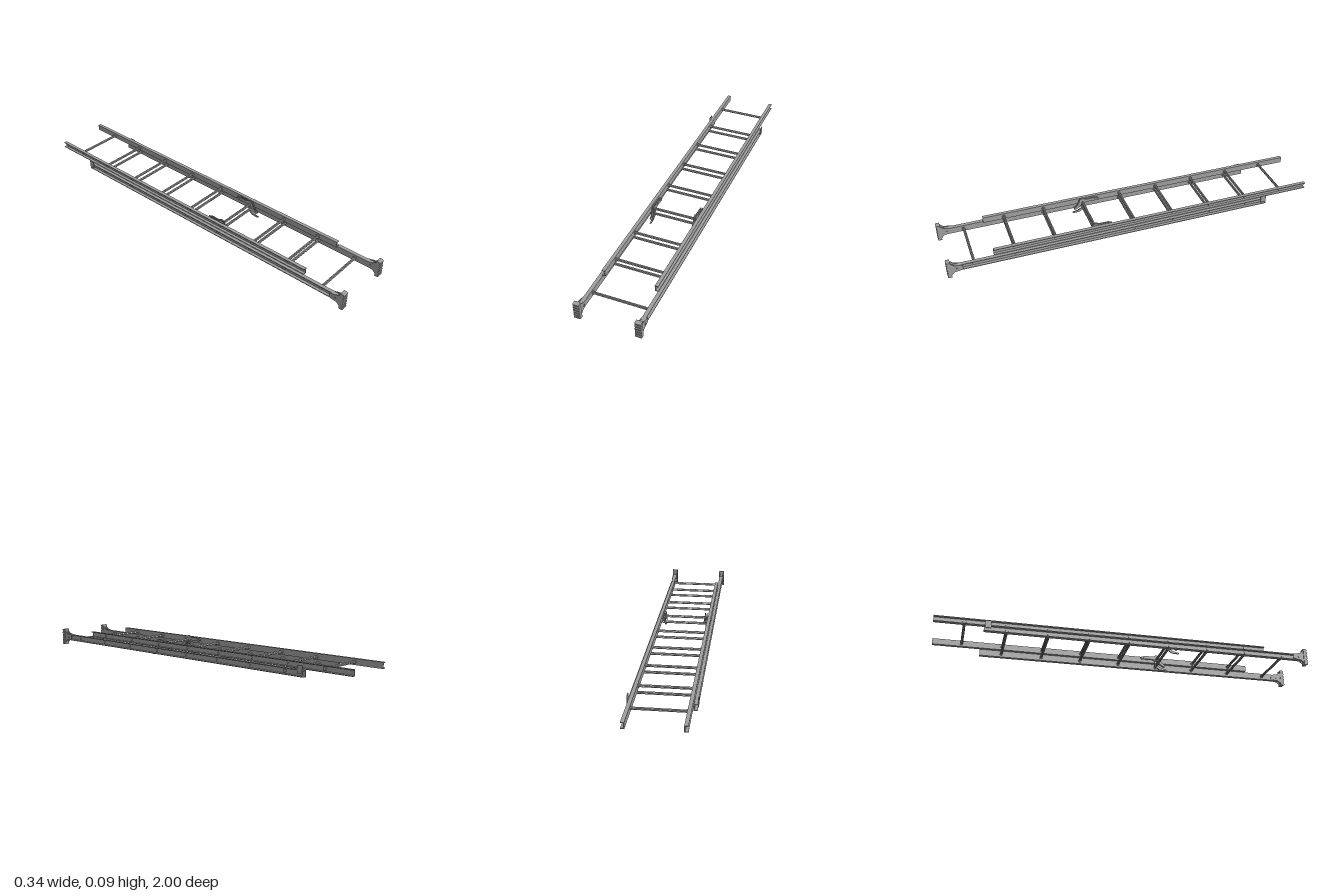
import * as THREE from 'three';

const SLOPE = 0.0148;          // both sections lie at a slight pitch
const PITCH = 0.2138;          // rung spacing

const aluminium = new THREE.MeshStandardMaterial({ color: 0xa0a0a0 });
aluminium.name = 'aluminium';

function add(parent, name, geometry, x = 0, y = 0, z = 0) {
  const mesh = new THREE.Mesh(geometry, aluminium);
  mesh.name = name;
  mesh.position.set(x, y, z);
  parent.add(mesh);
  return mesh;
}

function extrude(points, depth) {
  const shape = new THREE.Shape(points.map(([x, y]) => new THREE.Vector2(x, y)));
  return new THREE.ExtrudeGeometry(shape, { depth, bevelEnabled: false });
}

// Plate drawn in (z, y), given a thickness across x and centred on x
function sidePlate(points, width) {
  return extrude(points.map(([z, y]) => [-z, y]), width).translate(0, 0, -width / 2).rotateY(Math.PI / 2);
}

// Channel rail: web on the inside, flanges pointing outward
function railGeometry(side, inner, width, height, length) {
  const h = height / 2, t = 0.004;
  const outline = [
    [inner, -h], [inner + width, -h], [inner + width, -h + t], [inner + t, -h + t],
    [inner + t, h - t], [inner + width, h - t], [inner + width, h], [inner, h],
  ];
  return extrude(outline.map(([x, y]) => [x * side, y]), length);
}

// Ribbed rung running along x
function rungGeometry(length) {
  const points = [];
  for (let i = 0; i < 24; i++) {
    const a = (i / 24) * Math.PI * 2, r = i % 2 ? 0.0059 : 0.007;
    points.push([Math.cos(a) * r, Math.sin(a) * r]);
  }
  return extrude(points, length).translate(0, 0, -length / 2).rotateY(Math.PI / 2);
}

// One ladder section: two rails, rungs and the swaged rung ends
function ladderSection(name, { inner, width, height, from, to, firstRung, count, y0 }) {
  const section = new THREE.Group();
  section.name = name;
  section.position.y = y0;
  section.rotation.x = -Math.atan(SLOPE);
  for (const side of [-1, 1]) {
    add(section, 'rail', railGeometry(side, inner, width, height, to - from), 0, 0, from);
  }
  const rung = rungGeometry(inner * 2 + 0.004);
  const ferrule = new THREE.CylinderGeometry(0.009, 0.009, 0.006, 12).rotateZ(Math.PI / 2);
  for (let i = 0; i < count; i++) {
    const z = firstRung + i * PITCH;
    add(section, 'rung', rung, 0, 0, z);
    for (const side of [-1, 1]) {
      add(section, 'rungEndOutside', ferrule, side * (inner + 0.006), 0, z);
      add(section, 'rungEndInside', ferrule, side * (inner - 0.002), 0, z);
    }
  }
  return section;
}

// Foot: ribbed rubber-style sole plate with a tapered bracket behind it
function makeFoot() {
  const foot = new THREE.Group();
  foot.name = 'foot';
  const sole = [[0.979, 0.092], [0.979, 0]];
  const ribs = 6, step = 0.092 / ribs;
  for (let i = 0; i < ribs; i++) {
    const y = i * step;
    sole.push([0.994, y], [1, y + step * 0.25], [1, y + step * 0.75], [0.994, y + step]);
  }
  // remove duplicate joints between neighbouring ribs
  const clean = sole.filter((p, i) => i === 0 || p[0] !== sole[i - 1][0] || Math.abs(p[1] - sole[i - 1][1]) > 1e-6);
  add(foot, 'sole', sidePlate(clean, 0.031), 0.1525);
  const bracket = [[0.98, 0.01], [0.98, 0.084], [0.962, 0.068], [0.92, 0.058], [0.92, 0.032], [0.962, 0.026]];
  for (const x of [0.1415, 0.1625]) add(foot, 'footBracket', sidePlate(bracket, 0.004), x);
  const pin = new THREE.CylinderGeometry(0.005, 0.005, 0.03, 10).rotateZ(Math.PI / 2);
  add(foot, 'footPin', pin, 0.152, 0.045, 0.95);
  return foot;
}

// Rung lock: body over the upper rung, hook toward the lower rung, loose finger
function makeLock() {
  const lock = new THREE.Group();
  lock.name = 'rungLock';
  const body = [
    [0.13, 0.073], [0.15, 0.082], [0.2, 0.083], [0.218, 0.092], [0.236, 0.089],
    [0.242, 0.07], [0.252, 0.05], [0.272, 0.034], [0.266, 0.026], [0.24, 0.04],
    [0.226, 0.058], [0.2, 0.066], [0.14, 0.064],
  ];
  for (const x of [0.1105, 0.1195]) add(lock, 'lockPlate', sidePlate(body, 0.003), x);
  const finger = [
    [0.21, 0.06], [0.222, 0.056], [0.228, 0.03], [0.25, 0.018], [0.28, 0.012],
    [0.276, 0.006], [0.24, 0.007], [0.214, 0.024],
  ];
  add(lock, 'lockFinger', sidePlate(finger, 0.006), 0.115);
  const pin = new THREE.CylinderGeometry(0.004, 0.004, 0.016, 10).rotateZ(Math.PI / 2);
  add(lock, 'lockPin', pin, 0.115, 0.072, 0.15);
  add(lock, 'lockPin', pin, 0.115, 0.058, 0.218);
  return lock;
}

// Mirror a left-hand part to the right by flipping its vertices and face order
function mirrored(group) {
  const copy = group.clone();
  copy.children.forEach((mesh) => {
    const g = mesh.geometry.index ? mesh.geometry.toNonIndexed() : mesh.geometry.clone();
    g.scale(-1, 1, 1);
    for (const key of ['position', 'normal']) {
      const attr = g.attributes[key], a = new THREE.Vector3(), b = new THREE.Vector3();
      for (let i = 0; i < attr.count; i += 3) {
        a.fromBufferAttribute(attr, i + 1);
        b.fromBufferAttribute(attr, i + 2);
        attr.setXYZ(i + 1, b.x, b.y, b.z);
        attr.setXYZ(i + 2, a.x, a.y, a.z);
      }
    }
    mesh.geometry = g;
    mesh.position.x *= -1;
  });
  return copy;
}

export function createModel() {
  const model = new THREE.Group();
  model.name = 'extensionLadder';
  const ladder = new THREE.Group();
  ladder.name = 'ladder';
  ladder.position.x = -0.0015;
  model.add(ladder);

  ladder.add(ladderSection('baseSection', {
    inner: 0.141, width: 0.019, height: 0.034, from: -0.75, to: 0.975,
    firstRung: -0.635, count: 8, y0: 0.0302,
  }));
  ladder.add(ladderSection('flySection', {
    inner: 0.127, width: 0.018, height: 0.032, from: -0.999, to: 0.76,
    firstRung: -0.847, count: 8, y0: 0.0648,
  }));

  // Guide brackets at the top of the base rails, wrapping the fly rails
  for (const side of [-1, 1]) {
    add(ladder, 'guideBracket', new THREE.BoxGeometry(0.004, 0.04, 0.03), side * 0.162, 0.038, -0.73);
  }

  const foot = makeFoot(), lock = makeLock();
  ladder.add(foot, mirrored(foot), lock, mirrored(lock));
  return model;
}
